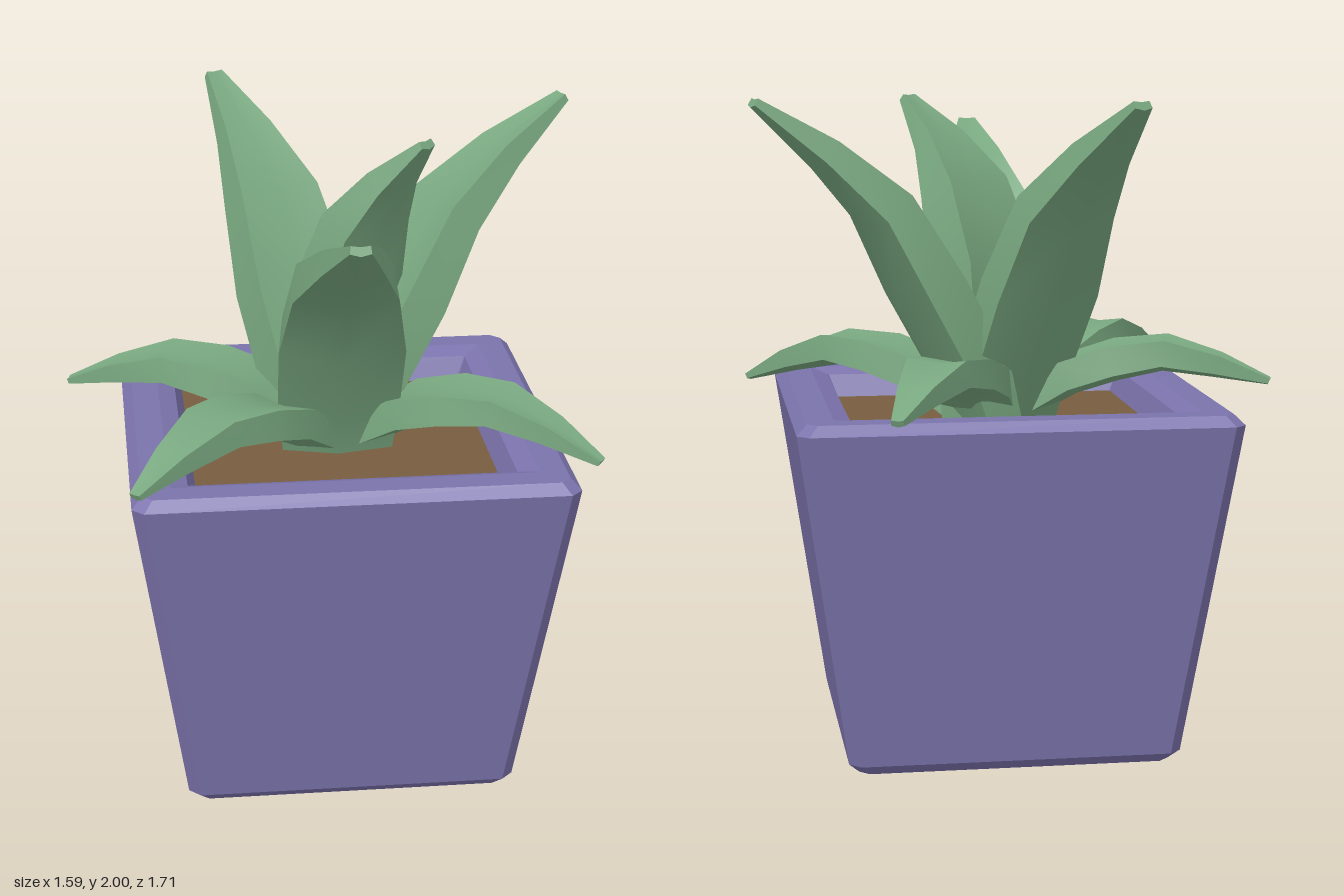
import * as THREE from 'three';
import { mergeGeometries } from 'three/addons/utils/BufferGeometryUtils.js';

const CX = 0.025, CZ = 0.02; // pot centre

// Skin between successive rows of points; smooth within a strip unless flat
function loft(rows, closed = false, flat = false) {
  const n = rows[0].length, pos = [], idx = [];
  rows.forEach(row => row.forEach(p => pos.push(p.x, p.y, p.z)));
  for (let j = 0; j < rows.length - 1; j++) {
    for (let i = 0; i < (closed ? n : n - 1); i++) {
      const a = j * n + i, b = j * n + (i + 1) % n;
      idx.push(a, b, b + n, a, b + n, a + n);
    }
  }
  let g = new THREE.BufferGeometry();
  g.setAttribute('position', new THREE.Float32BufferAttribute(pos, 3));
  g.setIndex(idx);
  if (flat) g = g.toNonIndexed();
  g.computeVertexNormals();
  return flat ? g : g.toNonIndexed();
}

// Square ring with chamfered corners
function squareRing(h, c, y) {
  const pts = [];
  let quarter = [[-(h - c), h], [h - c, h]];
  for (let k = 0; k < 4; k++) {
    quarter.forEach(([x, z]) => pts.push(new THREE.Vector3(CX + x, y, CZ + z)));
    quarter = quarter.map(([x, z]) => [z, -x]);
  }
  return pts;
}

// Leaf from rows of [reach, height, half width, depth], growing towards (dx, dz),
// moved sideways by shift
function leafGeometry(rows, dx, dz, stretch, drop, shift) {
  const D = new THREE.Vector3(dx, 0, dz).normalize();
  const S = new THREE.Vector3(0, 1, 0).cross(D);
  const last = rows.length - 1;
  const path = rows.map(([r, y], i) => [r * stretch, y - drop * (i / last) ** 2]);
  const sections = rows.map(([, , w, d], i) => {
    const a = path[Math.max(i - 1, 0)], b = path[Math.min(i + 1, last)];
    const len = Math.hypot(b[0] - a[0], b[1] - a[1]);
    const nr = (b[1] - a[1]) / len, ny = -(b[0] - a[0]) / len;
    const point = (s, n) => new THREE.Vector3(CX, path[i][1] + ny * n, CZ)
      .addScaledVector(D, path[i][0] + nr * n).addScaledVector(S, s + shift);
    return [point(-0.9 * w, 0), point(-w, 0.75 * d), point(0, d),
      point(w, 0.75 * d), point(0.9 * w, 0), point(0, 0.12 * d)];
  });
  // Separate strips keep the long edges crisp
  const strips = [[0, 1], [1, 2, 3], [3, 4], [4, 5, 0]]
    .map(ids => loft(sections.map(s => ids.map(k => s[k]))));
  // Blunt tip
  const end = sections[last];
  const mid = end.reduce((m, p) => m.addScaledVector(p, 1 / end.length), new THREE.Vector3());
  strips.push(loft([end, end.map(() => mid)], true, true));
  return mergeGeometries(strips);
}

export function createModel() {
  const model = new THREE.Group();
  const mat = (name, color) => {
    const m = new THREE.MeshStandardMaterial({ color });
    m.name = name;
    return m;
  };
  const purple = mat('purple glaze', 0x7b73ac);
  const brown = mat('brown soil', 0x775d3f);
  const green = mat('leaf green', 0x79a880);
  const grey = mat('grey base', 0xdadae6);
  const add = (name, geometry, material) => {
    const mesh = new THREE.Mesh(geometry, material);
    mesh.name = name;
    model.add(mesh);
    return mesh;
  };

  // Tapered pot: closed bottom, chamfered walls, rim and inner lip
  add('pot', loft([
    [0.001, 0.0002, 0.003], [0.47, 0.03, 0.003], [0.502, 0.035, 0.035], [0.652, 0.035, 1.055],
    [0.622, 0.03, 1.085], [0.54, 0.01, 1.085], [0.485, 0.005, 1.065], [0.45, 0.003, 0.98],
  ].map(r => squareRing(...r)), true, true), purple);

  // Soil
  const soil = add('soil', new THREE.BoxGeometry(0.92, 0.06, 0.92), brown);
  soil.position.set(CX, 0.965, CZ);

  // Rounded unglazed patch under the pot
  const h = 0.305, r = 0.06, patch = new THREE.Shape();
  [[1, 1, 0], [-1, 1, 1], [-1, -1, 2], [1, -1, 3]].forEach(([sx, sy, k]) =>
    patch.absarc(sx * (h - r), sy * (h - r), r, k * Math.PI / 2, (k + 1) * Math.PI / 2));
  const base = add('basePatch', new THREE.ExtrudeGeometry(patch,
    { depth: 0.006, bevelEnabled: false, curveSegments: 5 }), grey);
  base.rotation.x = -Math.PI / 2;
  base.position.set(-0.005, 0, CZ);

  // Leaf profiles
  const arching = [[-0.04, 0.98, 0.165, 0.16], [-0.01, 1.18, 0.185, 0.19], [0.14, 1.45, 0.19, 0.19],
    [0.31, 1.67, 0.155, 0.16], [0.58, 1.80, 0.09, 0.1], [0.83, 1.89, 0.03, 0.03]];
  const rising = [[0, 0.98, 0.15, 0.15], [0.06, 1.2, 0.175, 0.18], [0.21, 1.46, 0.18, 0.18],
    [0.37, 1.71, 0.15, 0.15], [0.58, 1.87, 0.09, 0.1], [0.81, 1.995, 0.03, 0.03]];
  const upright = [[-0.08, 0.98, 0.15, 0.15], [-0.11, 1.22, 0.175, 0.2], [-0.09, 1.5, 0.18, 0.21],
    [0.01, 1.74, 0.15, 0.16], [0.14, 1.88, 0.09, 0.1], [0.29, 1.99, 0.03, 0.03]];
  const low = [[0, 1.03, 0.1, 0.09], [0.2, 1.18, 0.125, 0.12], [0.36, 1.235, 0.125, 0.12],
    [0.53, 1.255, 0.1, 0.105], [0.7, 1.205, 0.06, 0.075], [0.85, 1.135, 0.02, 0.022]];

  // name, profile, direction x and z, stretch, tip drop, sideways shift
  [
    ['frontLeaf', arching, -0.025, 0.82, 1, 0, 0],
    ['leftLeaf', rising, 0.95, -0.3, 0.99, 0, 0.08],
    ['backLeaf', rising, -0.325, -0.71, 0.96, 0, -0.01],
    ['centreLeaf', upright, 0.68, 0.73, 1, 0, 0.06],
    ['lowRightLeaf', low, -0.825, -0.25, 1.01, 0, 0],
    ['lowFrontRightLeaf', low, -0.623, 0.69, 1.09, 0.01, -0.03],
    ['lowFrontLeftLeaf', low, 0.724, 0.494, 1.03, 0.055, 0.04],
    ['lowBackLeaf', low, 0.395, -0.87, 1.11, 0, 0],
  ].forEach(([name, ...leaf]) => add(name, leafGeometry(...leaf), green));

  return model;
}
